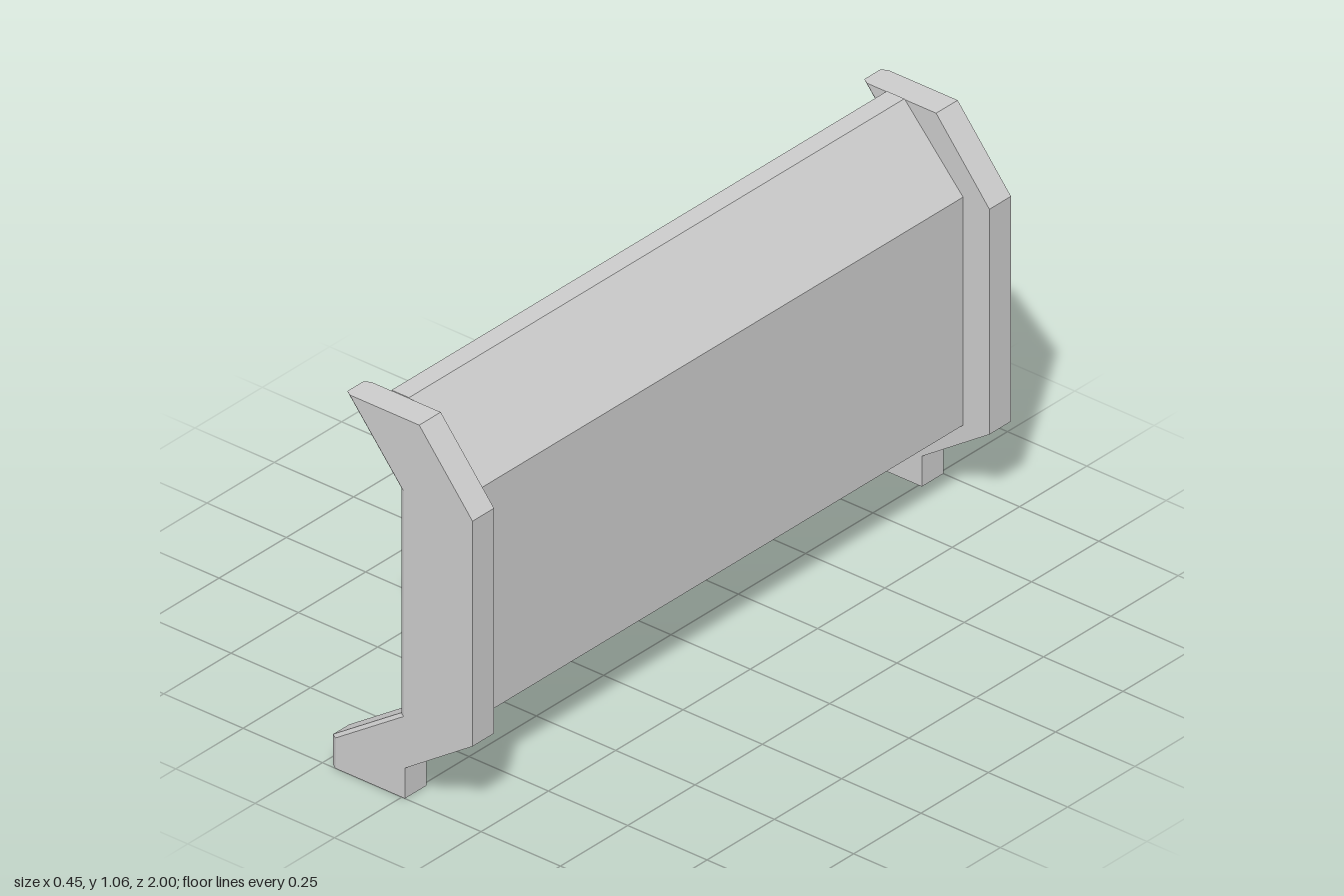
import * as THREE from 'three';

const material = new THREE.MeshStandardMaterial({ color: 0xcccccc, flatShading: true });
const smooth = new THREE.MeshStandardMaterial({ color: 0xcccccc });
const HALF = 0.92; // half length between the end caps
const CAP = 0.08; // end cap thickness

// Extrude an x-y outline along z, centred on z = 0
function prism(points, depth, steps = 1) {
  const shape = new THREE.Shape(points.map(([x, y]) => new THREE.Vector2(x, y)));
  const geometry = new THREE.ExtrudeGeometry(shape, { depth, steps, bevelEnabled: false });
  return geometry.translate(0, 0, -depth / 2);
}

function add(group, name, geometry, mat = material) {
  const mesh = new THREE.Mesh(geometry, mat);
  mesh.name = name;
  group.add(mesh);
  return mesh;
}

// Bent end cap with both long edges of its -x side chamfered
function capGeometry() {
  const geometry = prism([
    [-0.225, 0], [0.01, 0], [0.01, 0.085], [0.223, 0.228], [0.223, 0.858],
    [0.055, 1.062], [-0.18, 1.062], [-0.01, 0.858], [-0.01, 0.228], [-0.225, 0.085],
  ], CAP, 8);
  const p = geometry.attributes.position;
  for (let i = 0; i < p.count; i++) {
    if (p.getX(i) < 0 && Math.abs(p.getZ(i)) > CAP / 2 - 0.001) p.setX(i, p.getX(i) + 0.016);
  }
  geometry.computeVertexNormals();
  return geometry;
}

export function createModel() {
  const group = new THREE.Group();
  group.name = 'bentPanelWithEndCaps';

  // End caps
  for (const side of [1, -1]) {
    const cap = add(group, side > 0 ? 'frontCap' : 'backCap', capGeometry());
    cap.position.z = side * (HALF + CAP / 2);
  }

  // Bent panel spanning the caps
  add(group, 'panel', prism([
    [-0.094, 0.065], [0.14, 0.222], [0.14, 0.86], [-0.045, 1.064],
    [-0.1, 1.064], [0.1, 0.844], [0.1, 0.243], [-0.116, 0.098],
  ], 2 * HALF));

  // Bottom rail along the foot
  add(group, 'bottomRail', prism([
    [-0.215, 0], [-0.16, 0], [-0.16, 0.03], [-0.215, 0.03],
  ], 2 * HALF));

  // Round rod between the rail and the panel
  const rod = new THREE.CylinderGeometry(0.02, 0.02, 2 * HALF, 20).rotateX(Math.PI / 2);
  add(group, 'rod', rod, smooth).position.set(-0.135, 0.052, 0);

  return group;
}
